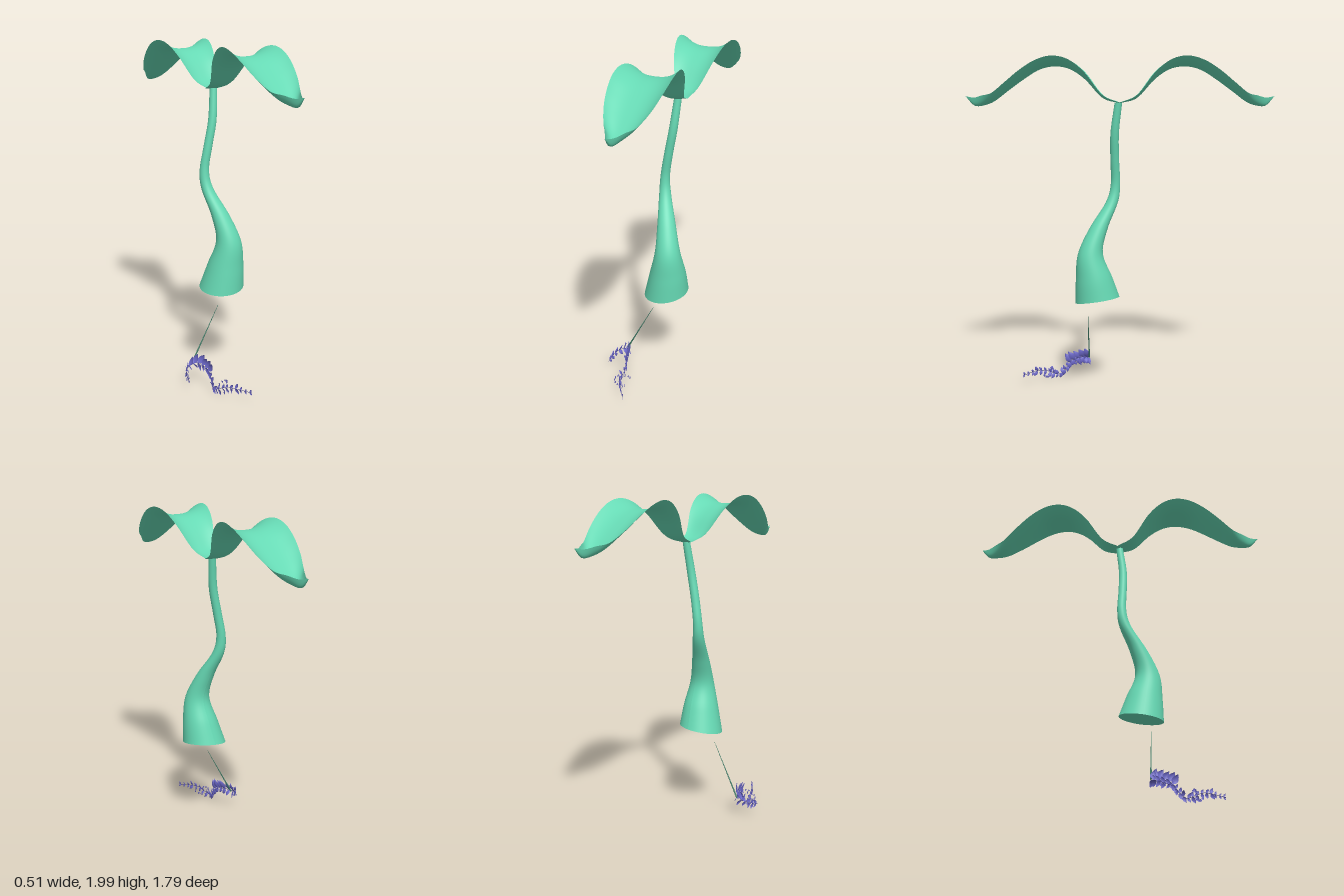
import * as THREE from 'three';

const V = (x, y, z) => new THREE.Vector3(x, y, z);
const paint = (color) => new THREE.MeshStandardMaterial({ color, side: THREE.DoubleSide });
const spline = (pts) => new THREE.CatmullRomCurve3(pts, false, 'catmullrom', 0.5);

// Moves every vertex of a geometry by a rule
function reshape(geo, rule) {
  const p = geo.attributes.position;
  for (let i = 0; i < p.count; i++) {
    const q = rule(p.getX(i), p.getY(i), p.getZ(i));
    p.setXYZ(i, q.x, q.y, q.z);
  }
  geo.computeVertexNormals();
  return geo;
}

function part(parent, name, geo, mat) {
  const mesh = new THREE.Mesh(geo, mat);
  mesh.name = name;
  parent.add(mesh);
  return mesh;
}

// Flared, S-curved stem with a slightly tilted foot: x, y, z, radius
function stemGeometry() {
  const rows = [
    [0.07, 0.563, 0.135, 0.133], [0.085, 0.7, 0.155, 0.108], [0.093, 0.85, 0.175, 0.074],
    [0.065, 1.0, 0.125, 0.054], [0.022, 1.15, 0.047, 0.036], [0.013, 1.26, 0.026, 0.028],
    [0.035, 1.4, 0.03, 0.026], [0.065, 1.56, 0.03, 0.025], [0.084, 1.74, 0.008, 0.022]];
  const axis = spline(rows.map((r) => V(r[0], r[1], r[2])));
  const radius = spline(rows.map((r) => V(r[3], 0, 0)));
  const geo = new THREE.CylinderGeometry(1, 1, 1, 40, 56);
  geo.rotateY(Math.PI);
  return reshape(geo, (x, y, z) => {
    const t = THREE.MathUtils.clamp(y + 0.5, 0, 1);
    const c = axis.getPoint(t), r = radius.getPoint(t).x;
    const tilt = Math.max(0, 1 - t * 3);
    return V(c.x + x * r, c.y + tilt * r * (0.115 * x - 0.15 * z), c.z + z * r);
  });
}

// Arched leaf with upturned rims: z, centre height, half width, rim lift
function leafGeometry() {
  const rows = [
    [0, 1.735, 0.048, 0.004], [0.1, 1.765, 0.075, 0.018], [0.2, 1.87, 0.122, 0.04],
    [0.29, 1.93, 0.148, 0.05], [0.38, 1.945, 0.162, 0.055], [0.47, 1.925, 0.165, 0.053],
    [0.56, 1.87, 0.155, 0.055], [0.65, 1.805, 0.131, 0.05], [0.73, 1.745, 0.093, 0.05],
    [0.79, 1.722, 0.056, 0.058], [0.845, 1.722, 0.025, 0.045], [0.895, 1.775, 0, 0]];
  const line = spline(rows.map((r) => V(0, r[1], r[0])));
  const form = spline(rows.map((r) => V(r[2], r[3], 0)));
  return reshape(new THREE.PlaneGeometry(2, 1, 24, 60), (u, y) => {
    const t = THREE.MathUtils.clamp(0.5 - y, 0, 1);
    const c = line.getPoint(t), f = form.getPoint(t);
    return V(u * f.x, c.y + f.y * Math.abs(u) ** 2.6, c.z);
  });
}

// Small cupped pointed blade of unit length, growing along +y
function bladeGeometry() {
  return reshape(new THREE.PlaneGeometry(2, 1, 4, 8), (u, y) => {
    const t = THREE.MathUtils.clamp(y + 0.5, 0, 1);
    const w = 0.28 * Math.sin(Math.PI * t ** 0.8);
    return V(u * w, t, 0.1 * Math.sin(Math.PI * t) - 0.06 * u * u);
  });
}

// Trailing sprig: fine tendril with paired blades shrinking to the end
function addSprig(group) {
  const sprig = new THREE.Group();
  sprig.name = 'trailingSprig';
  group.add(sprig);
  const violet = paint(0x6a66c4);
  const path = spline([
    V(-0.25, 0.07, 0.31), V(-0.235, 0.1, 0.24), V(-0.195, 0.12, 0.205), V(-0.15, 0.14, 0.23),
    V(-0.125, 0.12, 0.3), V(-0.12, 0.06, 0.35), V(-0.135, 0.03, 0.385), V(-0.11, 0.05, 0.43),
    V(-0.09, 0.07, 0.48), V(-0.05, 0.07, 0.54), V(-0.005, 0.065, 0.6)]);
  part(sprig, 'tendril', new THREE.TubeGeometry(path, 90, 0.0015, 5), paint(0x4a478c));

  let seed = 7;
  const rand = () => (seed = (seed * 16807) % 2147483647) / 2147483647;
  const blade = bladeGeometry();
  const pairs = 22;
  for (let i = 0; i < pairs; i++) {
    const t = (i + 0.5) / pairs;
    const at = path.getPointAt(t), along = path.getTangentAt(t);
    const big = t > 0.16 && t < 0.46;
    for (const s of [-1, 1]) {
      const size = (big ? (s > 0 ? 0.065 : 0.042) : 0.034) * (0.8 + 0.4 * rand()) * (t > 0.85 ? 0.6 : 1);
      const dir = along.clone().multiplyScalar(0.5)
        .add(V(0.3 * (rand() - 0.5), 0.8 * s, 0.5 * (rand() - 0.5))).normalize();
      const across = dir.clone().cross(V(1, 0.4 * s, 0.4 * (rand() - 0.5))).normalize();
      const normal = across.clone().cross(dir);
      const mesh = part(sprig, 'blade', blade, violet);
      mesh.quaternion.setFromRotationMatrix(new THREE.Matrix4().makeBasis(across, dir, normal));
      mesh.position.copy(at);
      mesh.scale.setScalar(size);
    }
  }

  // Loose curl of tiny blades under the middle of the sprig
  for (let i = 0; i < 12; i++) {
    const a = (i / 12) * Math.PI * 2;
    const mesh = part(sprig, 'curlBlade', blade, violet);
    mesh.position.set(-0.1 + 0.045 * Math.cos(a), 0.055 + 0.035 * Math.sin(a), 0.4 + 0.08 * (i / 12));
    mesh.rotation.set(0.4, Math.PI / 2, a);
    mesh.scale.setScalar(0.022);
  }
}

export function createModel() {
  const group = new THREE.Group();
  group.name = 'seedling';
  const green = paint(0x66d9b4);

  part(group, 'stem', stemGeometry(), green);

  // Two mirrored leaves
  const leaf = leafGeometry();
  part(group, 'frontLeaf', leaf, green).position.x = 0.083;
  const back = part(group, 'backLeaf', leaf, green);
  back.position.x = 0.09;
  back.scale.z = -1;

  // Thin tapered root thread
  const top = V(0.01, 0.465, 0.195), foot = V(-0.17, 0.13, 0.195);
  const root = part(group, 'rootThread',
    new THREE.CylinderGeometry(0.001, 0.005, top.distanceTo(foot), 8), paint(0x3f7d68));
  root.position.copy(top).add(foot).multiplyScalar(0.5);
  root.quaternion.setFromUnitVectors(V(0, 1, 0), top.clone().sub(foot).normalize());

  addSprig(group);
  return group;
}
